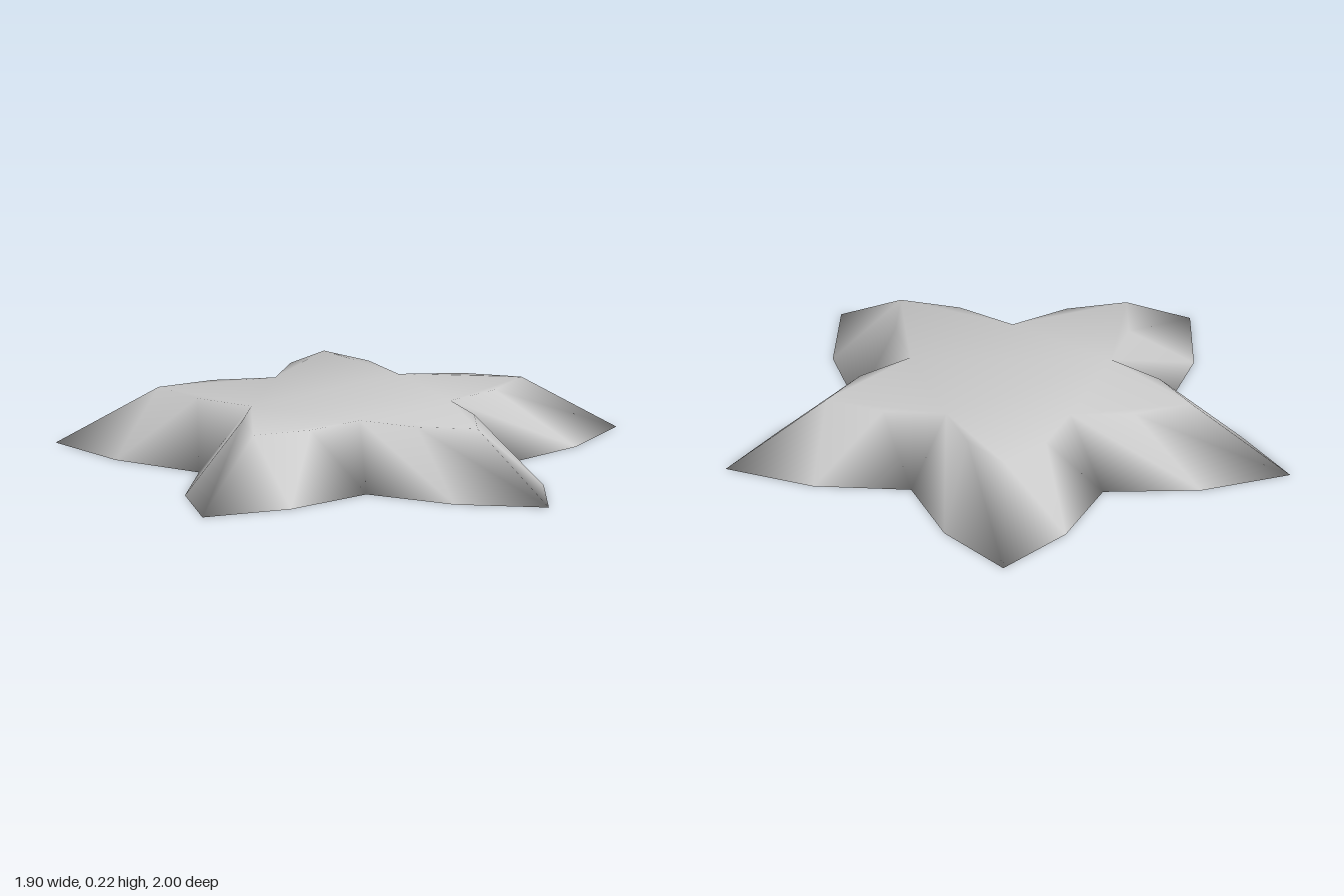
import * as THREE from 'three';

// Outline of one arm: [radius, angle in degrees from the arm's axis]
const ARM = [[1.05, 0], [0.82, 15.2], [0.577, 36], [0.82, 56.8]];
const ARMS = 5;
const CENTRE_X = -0.1;
const HEIGHT = 0.22;
const TOP_SCALE = 0.647;

function starOutline() {
  const points = [];
  for (let arm = 0; arm < ARMS; arm++) {
    for (const [radius, degrees] of ARM) {
      const angle = THREE.MathUtils.degToRad(arm * 72 + degrees);
      points.push(new THREE.Vector2(radius * Math.cos(angle), radius * Math.sin(angle)));
    }
  }
  return points;
}

// Solid star tapering upwards; corners are shared so the shading is smooth
function taperedStar() {
  const outline = starOutline();
  const n = outline.length;
  const positions = [];
  const index = [];

  // Bottom and top rings
  for (const [scale, y] of [[1, 0], [TOP_SCALE, HEIGHT]]) {
    for (const p of outline) positions.push(CENTRE_X + p.x * scale, y, p.y * scale);
  }

  // Sloping sides
  for (let i = 0; i < n; i++) {
    const j = (i + 1) % n;
    index.push(i, n + i, n + j, i, n + j, j);
  }

  // Underside and flat top
  for (const [a, b, c] of THREE.ShapeUtils.triangulateShape(outline, [])) {
    index.push(a, b, c, n + a, n + c, n + b);
  }

  const geometry = new THREE.BufferGeometry();
  geometry.setAttribute('position', new THREE.Float32BufferAttribute(positions, 3));
  geometry.setIndex(index);
  geometry.computeVertexNormals();
  return geometry;
}

export function createModel() {
  const grey = new THREE.MeshStandardMaterial({ color: 0xcccccc });
  grey.name = 'light grey';

  const body = new THREE.Mesh(taperedStar(), grey);
  body.name = 'starfishBody';

  const model = new THREE.Group();
  model.name = 'starfish';
  model.add(body);
  return model;
}
